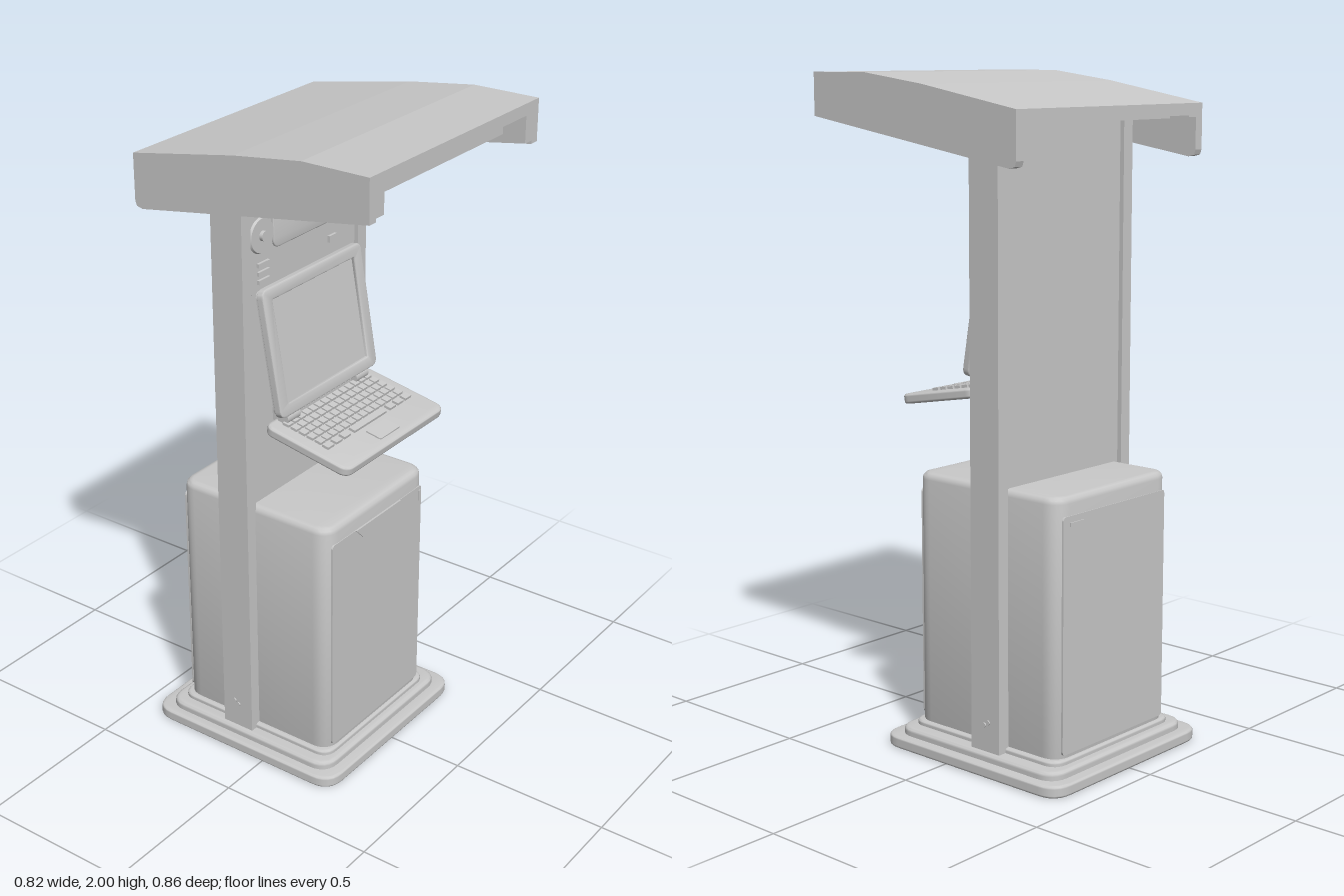
import * as THREE from 'three';
import { mergeGeometries, toCreasedNormals } from 'three/addons/utils/BufferGeometryUtils.js';

const grey = new THREE.MeshStandardMaterial({ color: 0xc8c8c8 });
grey.name = 'grey paint';

function add(parent, name, geometry, x = 0, y = 0, z = 0) {
  const mesh = new THREE.Mesh(geometry, grey);
  mesh.name = name;
  mesh.position.set(x, y, z);
  parent.add(mesh);
  return mesh;
}

const box = (w, h, d) => new THREE.BoxGeometry(w, h, d);

function roundedRect(w, h, r, Type = THREE.Shape) {
  const s = new Type(), x = w / 2, y = h / 2;
  s.moveTo(-x + r, -y);
  s.lineTo(x - r, -y);
  s.quadraticCurveTo(x, -y, x, -y + r);
  s.lineTo(x, y - r);
  s.quadraticCurveTo(x, y, x - r, y);
  s.lineTo(-x + r, y);
  s.quadraticCurveTo(-x, y, -x, y - r);
  s.lineTo(-x, -y + r);
  s.quadraticCurveTo(-x, -y, -x + r, -y);
  return s;
}

// Rounded plate facing +z, centred, with bevelled rims and an optional window
function plate(w, h, t, r, bevel = 0, hole = null) {
  const shape = roundedRect(w - 2 * bevel, h - 2 * bevel, r);
  if (hole) shape.holes.push(roundedRect(hole[0], hole[1], hole[2], THREE.Path));
  const g = new THREE.ExtrudeGeometry(shape, {
    depth: t - 2 * bevel, bevelEnabled: bevel > 0, bevelThickness: bevel,
    bevelSize: bevel, bevelSegments: 3, curveSegments: 6,
  });
  g.translate(0, 0, -t / 2 + bevel);
  return toCreasedNormals(g, 0.7);
}

// The same plate lying flat: width along x, depth along z, height along y
const slab = (w, d, h, r, bevel) => plate(w, d, h, r, bevel).rotateX(-Math.PI / 2);

// Side profile given as [z, y] points, extruded along x
function sideProfile(points, width) {
  const shape = new THREE.Shape(points.map(([z, y]) => new THREE.Vector2(-z, y)));
  const g = new THREE.ExtrudeGeometry(shape, { depth: width, bevelEnabled: false });
  return g.translate(0, 0, -width / 2).rotateY(Math.PI / 2);
}

function buildBase() {
  const g = new THREE.Group();
  g.name = 'base';
  add(g, 'footPlate', slab(0.68, 0.69, 0.036, 0.06, 0.008), 0, 0.018, -0.085);
  add(g, 'upperPlate', slab(0.62, 0.62, 0.04, 0.05, 0.012), 0, 0.04, -0.085);
  return g;
}

function buildColumn() {
  const g = new THREE.Group();
  g.name = 'column';
  add(g, 'centrePanel', box(0.54, 1.84, 0.08), 0, 0.97, -0.123);
  for (const side of [-1, 1]) {
    add(g, 'sidePost', box(0.04, 1.84, 0.108), side * 0.275, 0.97, -0.123);
    for (const z of [-0.12, -0.135]) {
      const bolt = add(g, 'bolt', new THREE.CylinderGeometry(0.007, 0.007, 0.006, 10),
        side * 0.296, z === -0.12 ? 0.14 : 0.15, z);
      bolt.rotation.z = Math.PI / 2;
    }
  }
  return g;
}

function buildCabinet() {
  const g = new THREE.Group();
  g.name = 'cabinet';
  add(g, 'cabinetBody', slab(0.51, 0.55, 0.785, 0.035, 0.02), -0.003, 0.4475, -0.083);
  add(g, 'plinth', slab(0.54, 0.57, 0.03, 0.04, 0.008), -0.003, 0.06, -0.083);
  // Door skins, front and back
  for (const [z, name] of [[0.191, 'frontDoor'], [-0.357, 'backDoor']])
    add(g, name, plate(0.46, 0.7, 0.006, 0.012), -0.003, 0.435, z);
  // Tapered pull handle
  const pull = new THREE.Shape([[-0.12, 0.785], [-0.085, 0.75], [0.075, 0.75], [0.11, 0.785]]
    .map(([x, y]) => new THREE.Vector2(x, y)));
  add(g, 'pullHandle', new THREE.ExtrudeGeometry(pull, { depth: 0.005, bevelEnabled: false }), 0, 0, 0.193);
  add(g, 'doorLock', box(0.008, 0.035, 0.005), 0.215, 0.755, 0.195);
  add(g, 'backLatch', box(0.06, 0.012, 0.005), 0.17, 0.76, -0.361);
  return g;
}

function buildControls() {
  const g = new THREE.Group();
  g.name = 'controlPanel';
  const z = -0.08;
  add(g, 'controlPlate', plate(0.46, 0.26, 0.006, 0.02), -0.02, 1.63, z);
  add(g, 'displayWindow', plate(0.35, 0.115, 0.009, 0.025, 0.003), 0.025, 1.672, z + 0.005);
  const dial = add(g, 'dial', new THREE.CylinderGeometry(0.05, 0.055, 0.009, 28), -0.2, 1.67, z + 0.005);
  dial.rotation.x = Math.PI / 2;
  const knob = add(g, 'dialKnob', new THREE.CylinderGeometry(0.015, 0.015, 0.02, 16), -0.2, 1.67, z + 0.01);
  knob.rotation.x = Math.PI / 2;
  for (const y of [1.535, 1.56, 1.585]) add(g, 'slot', box(0.05, 0.012, 0.012), -0.195, y, z + 0.005);
  add(g, 'socket', box(0.035, 0.02, 0.012), 0.13, 1.56, z + 0.005);
  return g;
}

function buildMonitor() {
  const g = new THREE.Group();
  g.name = 'monitor';
  g.position.set(-0.003, 1.33, -0.028);
  g.rotation.x = -0.17;
  add(g, 'bezel', plate(0.475, 0.385, 0.024, 0.02, 0.005, [0.4, 0.32, 0.008]), 0, 0, 0.004);
  add(g, 'backCover', plate(0.46, 0.37, 0.014, 0.02), 0, 0, -0.009);
  add(g, 'screen', box(0.39, 0.31, 0.008), 0, 0, 0.002);
  add(g, 'wallBracket', box(0.2, 0.12, 0.04), 0, 0.07, -0.03);
  return g;
}

function buildKeyboard() {
  const g = new THREE.Group();
  g.name = 'keyboard';
  g.position.set(0, 1.074, 0.107);
  g.rotation.x = 0.184;
  add(g, 'tray', slab(0.5, 0.3, 0.03, 0.025, 0.008));
  // Key rows and a wide space bar
  const keys = [];
  for (let row = 0; row < 5; row++)
    for (let col = 0; col < 14; col++)
      keys.push(box(0.024, 0.01, 0.022).translate(-0.195 + col * 0.03, 0.018, -0.105 + row * 0.029));
  keys.push(box(0.16, 0.01, 0.022).translate(0, 0.018, 0.04));
  for (const s of [-1, 1])
    for (let i = 0; i < 3; i++) keys.push(box(0.03, 0.01, 0.022).translate(s * (0.115 + i * 0.04), 0.018, 0.04));
  add(g, 'keys', mergeGeometries(keys));
  add(g, 'touchPad', plate(0.1, 0.055, 0.006, 0.008).rotateX(-Math.PI / 2), 0, 0.016, 0.095);
  return g;
}

function buildHinges() {
  const g = new THREE.Group();
  g.name = 'hinges';
  for (const x of [-0.17, 0.17]) {
    const barrel = add(g, 'hingeBarrel', new THREE.CylinderGeometry(0.02, 0.02, 0.06, 16), x, 1.125, -0.008);
    barrel.rotation.z = Math.PI / 2;
  }
  add(g, 'trayBracket', box(0.3, 0.04, 0.09), 0, 1.1, -0.055);
  return g;
}

function buildCanopy() {
  const g = new THREE.Group();
  g.name = 'canopy';
  const top = [[0.43, 2], [0.22, 2], [0, 1.971], [-0.345, 1.91]];
  const underside = top.map(([z, y]) => [z, y - 0.035]).reverse();
  add(g, 'roof', sideProfile([...top, ...underside].reverse(), 0.76));
  const skirt = [...top, [-0.345, 1.775], [-0.34, 1.76], [-0.32, 1.755], [0.43, 1.875]].reverse();
  const ledge = [...top.map(([z, y]) => [z, y - 0.02]), [-0.345, 1.87], [0.43, 1.885]].reverse();
  for (const side of [-1, 1]) {
    add(g, 'skirt', sideProfile(skirt, 0.03), side * 0.393);
    add(g, 'innerLedge', sideProfile(ledge, 0.035), side * 0.361);
  }
  // Light housing under the roof, resting on the column
  const housing = [[0.36, 1.97], [0.2, 1.97], [0, 1.945], [-0.28, 1.893], [-0.28, 1.865], [0.32, 1.88], [0.36, 1.9]];
  add(g, 'lightHousing', sideProfile(housing.reverse(), 0.68));
  add(g, 'lightCover', slab(0.6, 0.2, 0.015, 0.03, 0.004), 0, 1.872, 0.12);
  return g;
}

export function createModel() {
  const model = new THREE.Group();
  model.name = 'kiosk';
  model.add(buildBase(), buildColumn(), buildCabinet(), buildControls(),
    buildMonitor(), buildKeyboard(), buildHinges(), buildCanopy());
  return model;
}
